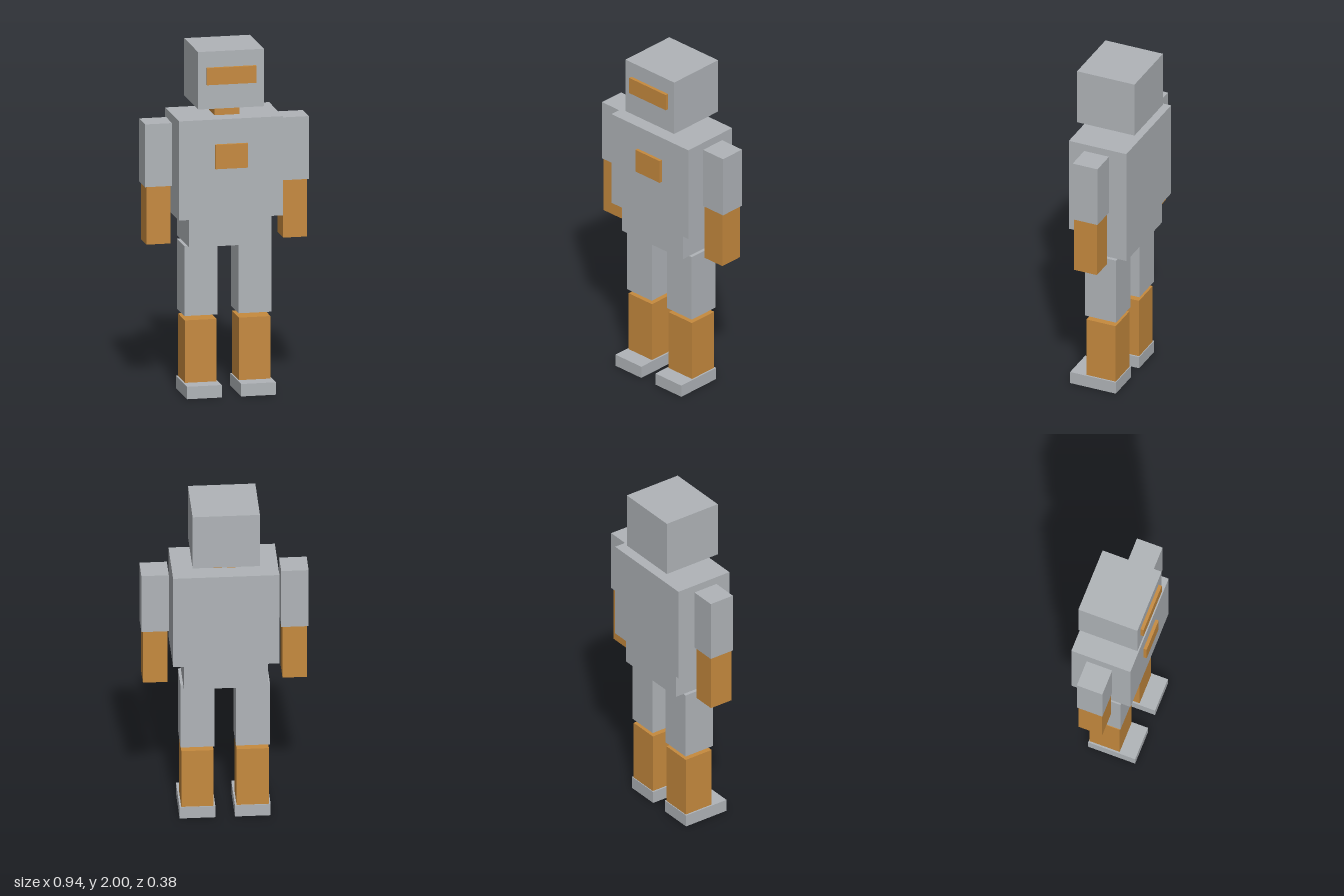
import * as THREE from 'three';

export function createModel() {
  const robot = new THREE.Group();
  robot.name = 'robot';

  const grey = new THREE.MeshStandardMaterial({ color: 0xb0b4b8 });
  grey.name = 'grey metal';
  const orange = new THREE.MeshStandardMaterial({ color: 0xc68a3e });
  orange.name = 'orange';

  // Box given by its [min, max] range on each axis
  function block(name, material, [x0, x1], [y0, y1], [z0, z1]) {
    const mesh = new THREE.Mesh(new THREE.BoxGeometry(x1 - x0, y1 - y0, z1 - z0), material);
    mesh.position.set((x0 + x1) / 2, (y0 + y1) / 2, (z0 + z1) / 2);
    mesh.name = name;
    robot.add(mesh);
  }

  // Head, neck and body
  block('head', grey, [-0.19, 0.19], [1.668, 2], [-0.188, 0.168]);
  block('visor', orange, [-0.143, 0.143], [1.81, 1.908], [0.16, 0.187]);
  block('neck', orange, [-0.072, 0.072], [1.605, 1.668], [-0.082, 0.062]);
  block('torso', grey, [-0.3, 0.3], [1.032, 1.605], [-0.188, 0.168]);
  block('chestPanel', orange, [-0.094, 0.094], [1.322, 1.462], [0.16, 0.187]);
  block('pelvis', grey, [-0.237, 0.237], [0.868, 1.032], [-0.16, 0.147]);

  // Arms and legs, mirrored
  for (const [side, s] of [['left', 1], ['right', -1]]) {
    const span = (a, b) => (s > 0 ? [a, b] : [-b, -a]);
    block(side + 'UpperArm', grey, span(0.317, 0.472), [1.21, 1.573], [-0.089, 0.065]);
    block(side + 'Forearm', orange, span(0.325, 0.463), [0.877, 1.21], [-0.081, 0.061]);
    block(side + 'Thigh', grey, span(0.06, 0.252), [0.46, 0.864], [-0.103, 0.09]);
    block(side + 'Shin', orange, span(0.065, 0.247), [0.072, 0.433], [-0.098, 0.083]);
    block(side + 'Foot', grey, span(0.055, 0.257), [0, 0.072], [-0.103, 0.18]);
  }

  return robot;
}
